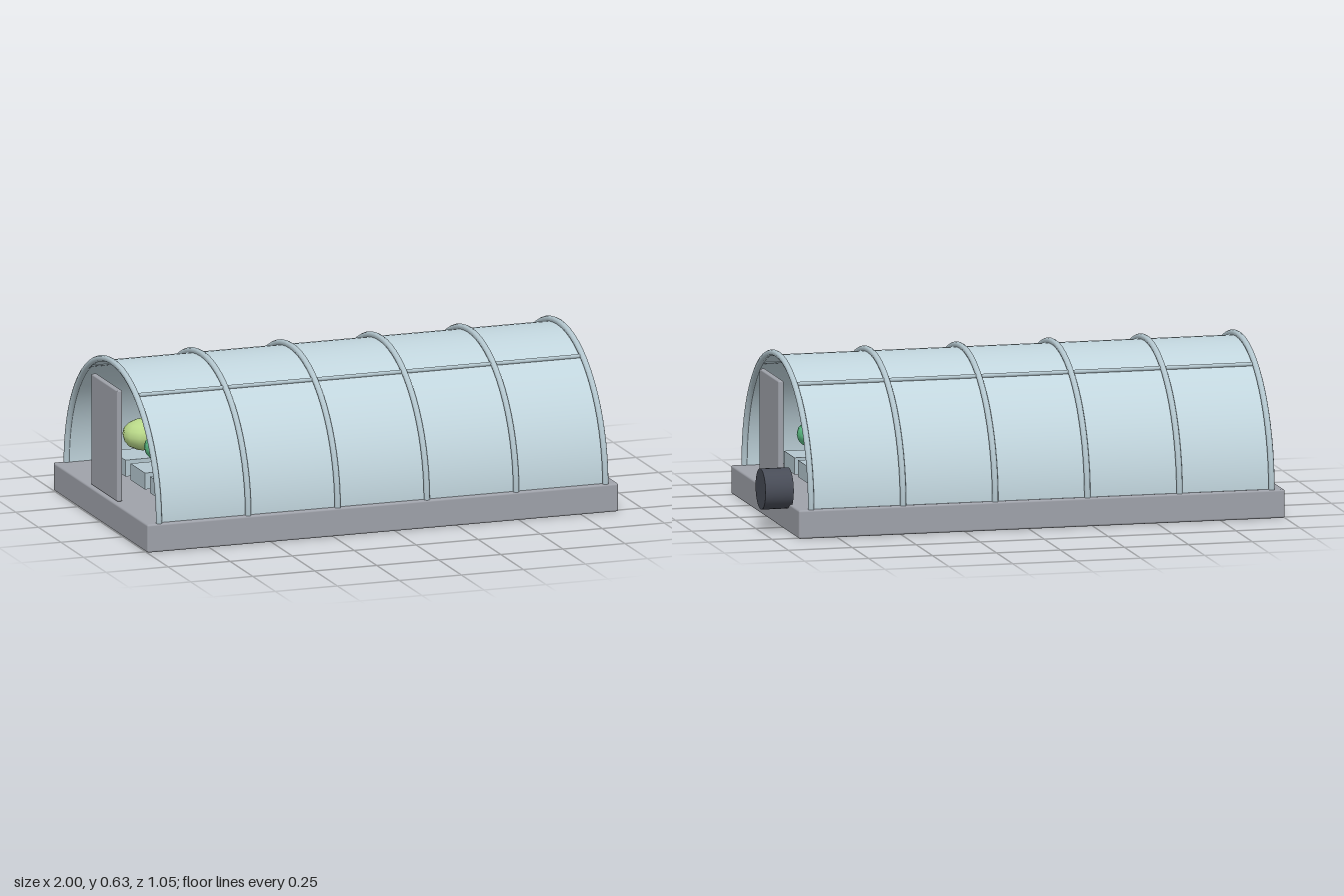
import * as THREE from 'three';
import { RoundedBoxGeometry } from 'three/addons/geometries/RoundedBoxGeometry.js';

const mat = (name, color, side = THREE.FrontSide) => {
  const m = new THREE.MeshStandardMaterial({ color, side });
  m.name = name;
  return m;
};

export function createModel() {
  const grey = mat('concrete grey', 0x9fa2aa);
  const glazing = mat('pale blue glazing', 0xc1d5dd, THREE.DoubleSide);
  const frame = mat('blue grey frame', 0xb4c7cf);
  const dark = mat('dark heater grey', 0x484c57);
  const green = mat('leaf green', 0x5cbd85);
  const lime = mat('lime green', 0xb9d888);
  const pink = mat('grow light pink', 0xc06a98);

  const model = new THREE.Group();
  model.name = 'tunnelGreenhouse';
  const add = (name, geo, material, x, y, z, parent = model) => {
    const m = new THREE.Mesh(geo, material);
    m.name = name;
    m.position.set(x, y, z);
    parent.add(m);
    return m;
  };
  const group = (name) => {
    const g = new THREE.Group();
    g.name = name;
    model.add(g);
    return g;
  };

  const CX = -0.05, FLOOR = 0.11, LEN = 1.8, R = 0.511;

  // Floor slab
  add('base', new RoundedBoxGeometry(1.9, FLOOR, 1.044, 2, 0.008), grey, CX, FLOOR / 2, 0);

  // Half-round glazing skin, open at both ends
  const skin = new THREE.CylinderGeometry(0.503, 0.503, LEN, 40, 1, true, 0, Math.PI);
  skin.rotateZ(Math.PI / 2); // arc bulges upward, axis along x
  add('glazing', skin, glazing, CX, FLOOR, 0);

  // Hoops
  const hoops = group('hoops');
  const hoop = new THREE.TorusGeometry(R, 0.012, 8, 32, Math.PI);
  hoop.rotateY(Math.PI / 2);
  for (let i = 0; i < 6; i++) add('hoop', hoop, frame, CX - LEN / 2 + (i * LEN) / 5, FLOOR, 0, hoops);

  // Lengthwise rails tying the hoops together
  const rail = new THREE.CylinderGeometry(0.008, 0.008, LEN, 8);
  rail.rotateZ(Math.PI / 2);
  for (const s of [-1, 1]) {
    const a = Math.PI / 3;
    add('rail', rail, frame, CX, FLOOR + 0.507 * Math.sin(a), s * 0.507 * Math.cos(a));
  }

  // Door panel at each end
  for (const s of [-1, 1]) {
    add('door', new RoundedBoxGeometry(0.022, 0.433, 0.289, 2, 0.005), grey, CX + s * 0.924, FLOOR + 0.2165, 0);
  }

  // Heater unit on the left end
  const heater = new THREE.CylinderGeometry(0.078, 0.078, 0.11, 28);
  heater.rotateZ(Math.PI / 2);
  add('heater', heater, dark, 0.945, 0.164, -0.325);

  // Growing trays with alternating plants
  const trays = group('trays');
  const plants = group('plants');
  const tray = new THREE.BoxGeometry(1.6, 0.064, 0.16);
  const leaf = new THREE.SphereGeometry(1, 12, 8);
  for (let row = 0; row < 3; row++) {
    const z = (row - 1) * 0.215;
    add('tray', tray, frame, CX, 0.164, z, trays);
    for (let i = 0; i < 7; i++) {
      const isLime = (i + row) % 3 === 0;
      const r = isLime || i % 2 ? 0.08 : 0.072;
      const p = add('plant', leaf, isLime ? lime : green, CX + (i - 3) * 0.233, 0.27, z, plants);
      p.scale.set(r, r * 0.75, r);
    }
  }

  // Grow light hung below the ridge
  add('growLight', new THREE.BoxGeometry(1.6, 0.03, 0.05), pink, CX, 0.52, 0);

  return model;
}
